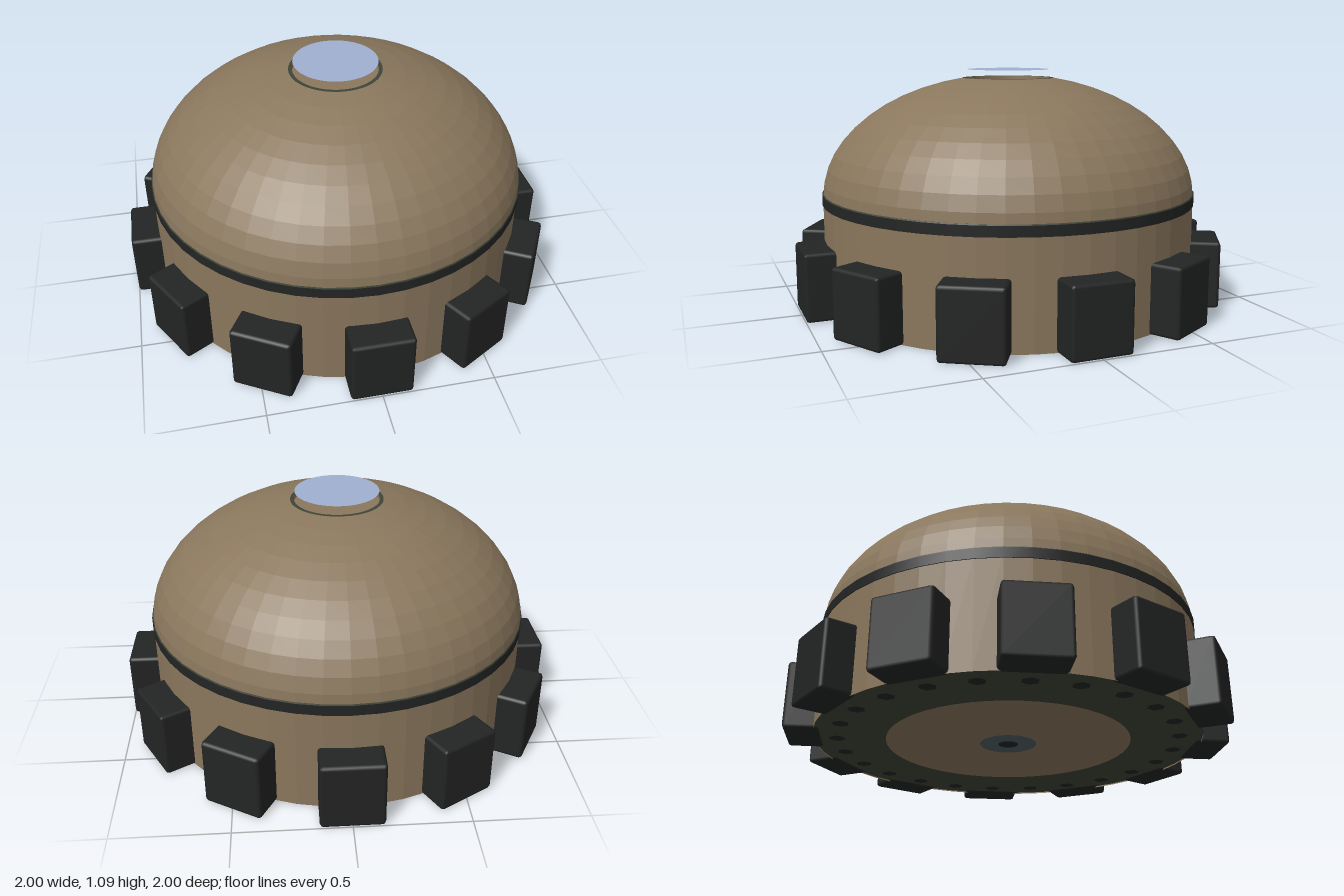
import * as THREE from 'three';
import { RoundedBoxGeometry } from 'three/addons/geometries/RoundedBoxGeometry.js';

const SEG = 48;
const R = 0.875;

function paint(name, color, extra = {}) {
  const m = new THREE.MeshStandardMaterial({ color, ...extra });
  m.name = name;
  return m;
}

export function createModel() {
  const tan = paint('tan shell', 0x8a775d, { flatShading: true, side: THREE.DoubleSide });
  const black = paint('black', 0x232424);
  const green = paint('dark green', 0x3f4437);
  const slate = paint('slate', 0x4e5e60);
  const glass = paint('pale blue glass', 0xa0b0d0);

  const model = new THREE.Group();
  model.name = 'domedHut';

  function add(name, geometry, material, y = 0, parent = model) {
    const mesh = new THREE.Mesh(geometry, material);
    mesh.name = name;
    mesh.position.y = y;
    parent.add(mesh);
    return mesh;
  }
  // Flat horizontal disc or ring, facing up or down
  function flat(name, inner, outer, y, material, up) {
    const g = inner > 0 ? new THREE.RingGeometry(inner, outer, SEG) : new THREE.CircleGeometry(outer, SEG);
    g.rotateX(up ? -Math.PI / 2 : Math.PI / 2);
    return add(name, g, material, y);
  }

  // Straight wall
  add('wall', new THREE.CylinderGeometry(R, R, 0.5, SEG, 1, true), tan, 0.25);

  // Elliptical dome with an open top and a shallow recess
  const opening = 0.213;
  const end = Math.acos(opening / R);
  const profile = [];
  for (let i = 0; i <= 11; i++) {
    const a = (end * i) / 11;
    profile.push(new THREE.Vector2(R * Math.cos(a), 0.5 + 0.565 * Math.sin(a)));
  }
  add('dome', new THREE.LatheGeometry(profile, SEG), tan);
  flat('skylightRim', 0.196, opening, 1.049, green, true);
  add('skylightWell', new THREE.CylinderGeometry(0.197, 0.197, 0.02, SEG, 1, true), tan, 1.039);
  flat('skylightFloor', 0, 0.198, 1.03, tan, true);
  // Thin pane raised above the opening
  flat('skylightPane', 0, 0.193, 1.088, glass, true);

  // Belt between wall and dome
  add('belt', new THREE.CylinderGeometry(0.879, 0.879, 0.046, SEG), black, 0.497);
  add('beltSeal', new THREE.CylinderGeometry(0.875, 0.877, 0.006, SEG), green, 0.522);

  // Twelve blocks around the base
  const blocks = new THREE.Group();
  blocks.name = 'baseBlocks';
  model.add(blocks);
  const blockGeo = new RoundedBoxGeometry(0.275, 0.31, 0.16, 1, 0.015);
  for (let i = 0; i < 12; i++) {
    const a = (i * Math.PI) / 6;
    const block = add('baseBlock', blockGeo, black, 0.155, blocks);
    block.position.x = 0.92 * Math.sin(a);
    block.position.z = 0.92 * Math.cos(a);
    block.rotation.y = a;
  }

  // Underside: rim, floor, hub and bolt holes
  flat('undersideRim', 0.55, R, 0.006, green, false);
  flat('undersideFloor', 0.12, 0.555, 0.004, tan, false);
  flat('undersideHub', 0, 0.128, 0.002, slate, false);
  flat('undersideHubHole', 0, 0.045, 0, black, false);
  const dot = new THREE.CircleGeometry(0.038, 6).rotateX(Math.PI / 2);
  for (let i = 0; i < 24; i++) {
    const a = (i * Math.PI) / 12;
    const hole = add('boltHole', dot, black, 0.002);
    hole.position.x = 0.77 * Math.sin(a);
    hole.position.z = 0.77 * Math.cos(a);
  }
  return model;
}
